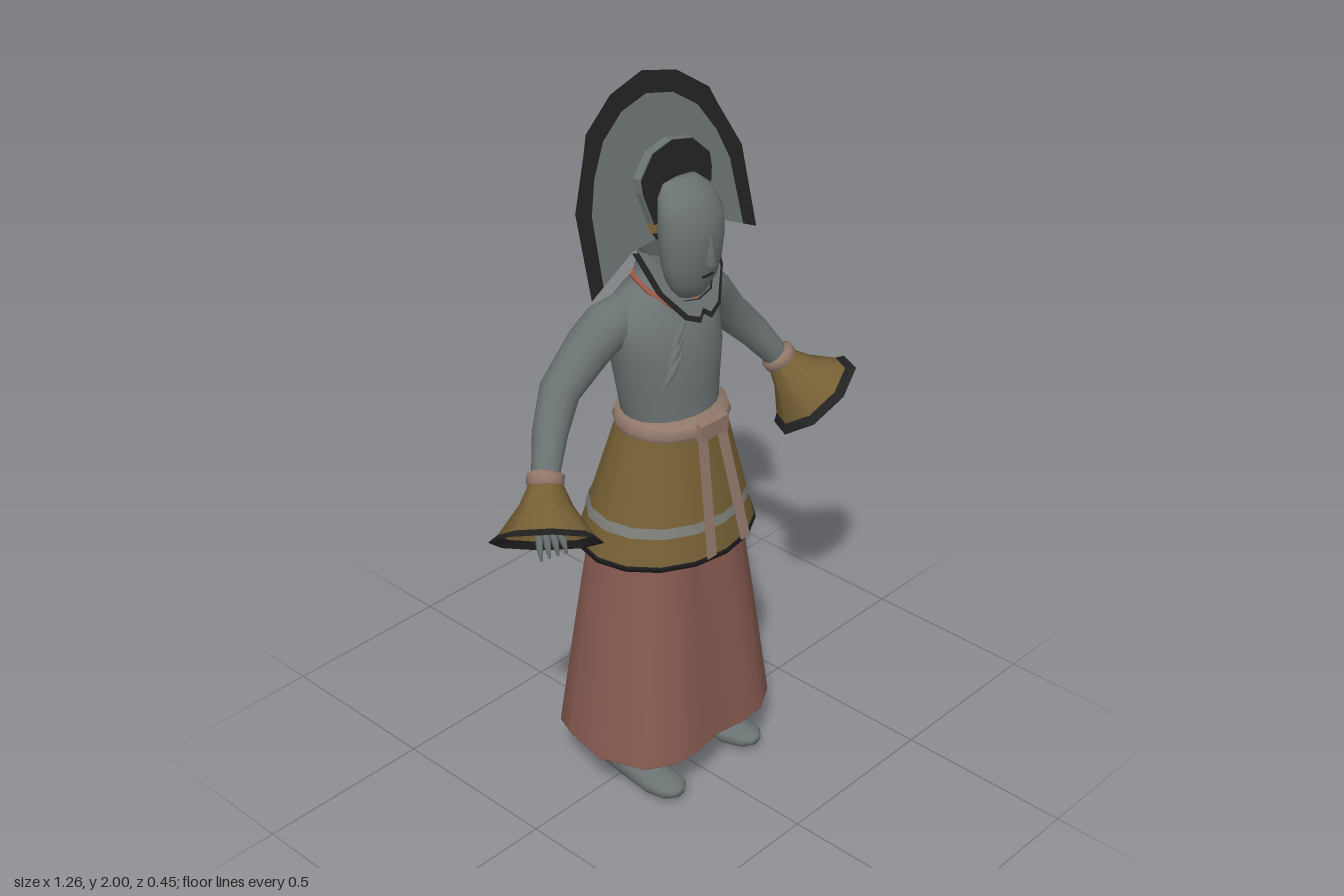
import * as THREE from 'three';

const V = (x, y, z) => new THREE.Vector3(x, y, z);
const paint = (name, color) => {
  const m = new THREE.MeshStandardMaterial({ color, side: THREE.DoubleSide });
  m.name = name;
  return m;
};

// Skin between closed rings of equal point count
function loft(rings) {
  const n = rings[0].length, pos = [], idx = [];
  rings.forEach(r => r.forEach(p => pos.push(p.x, p.y, p.z)));
  for (let r = 0; r < rings.length - 1; r++) for (let i = 0; i < n; i++) {
    const a = r * n + i, b = r * n + (i + 1) % n;
    idx.push(a, b, a + n, b, b + n, a + n);
  }
  const g = new THREE.BufferGeometry();
  g.setAttribute('position', new THREE.Float32BufferAttribute(pos, 3));
  g.setIndex(idx);
  g.computeVertexNormals();
  return g;
}

// Horizontal oval from half width and its front and back depth
function oval(y, rx, front, back, n = 24) {
  return Array.from({ length: n }, (_, i) => {
    const a = i / n * Math.PI * 2;
    return V(Math.sin(a) * rx, y, (front + back) / 2 + Math.cos(a) * (front - back) / 2);
  });
}

// Tapering limb through [x, y, z, radius, second radius]; s mirrors x
function limb(pts, s = 1, n = 12) {
  const c = pts.map(p => V(p[0] * s, p[1], p[2]));
  return loft(pts.map((p, i) => {
    const d = c[Math.min(i + 1, c.length - 1)].clone().sub(c[Math.max(i - 1, 0)]).normalize();
    const ref = Math.abs(d.z) > 0.9 ? V(0, 1, 0) : V(0, 0, 1);
    const u = ref.addScaledVector(d, -ref.dot(d)).normalize();
    const v = d.clone().cross(u);
    return Array.from({ length: n }, (_, k) => {
      const a = k / n * Math.PI * 2;
      return c[i].clone().addScaledVector(u, Math.cos(a) * p[3]).addScaledVector(v, Math.sin(a) * (p[4] ?? p[3]));
    });
  }));
}

// Mirrored flat outline, given as right-hand points from top to bottom
function outline(half) {
  const left = half.filter(p => p[0] > 0).reverse().map(([x, y]) => [-x, y]);
  return new THREE.Shape([...half, ...left].map(p => new THREE.Vector2(...p)));
}

// Lean a flat geometry: z gains slope * (y - y0)
function lean(g, z0, y0, slope) {
  const p = g.attributes.position;
  for (let i = 0; i < p.count; i++) p.setZ(i, p.getZ(i) + z0 + (p.getY(i) - y0) * slope);
  g.computeVertexNormals();
  return g;
}

export function createModel() {
  const model = new THREE.Group();
  model.name = 'dancer';
  const grey = paint('slate grey', 0x6b7272), gold = paint('old gold', 0x766035);
  const red = paint('brick red', 0x885b52), black = paint('black', 0x222222);
  const tan = paint('tan', 0x91786a), pale = paint('pale grey', 0x7f807a);
  const brown = paint('dark brown', 0x43302c), coral = paint('coral', 0xa25a48);
  const add = (name, geo, mat) => {
    const m = new THREE.Mesh(geo, mat);
    m.name = name;
    model.add(m);
    return m;
  };

  // Long skirt with a fold at the centre of front and back
  const half = [[0, .19], [.09, .205], [.17, .2], [.25, .155], [.3, .03], [.275, -.1], [.25, -.17], [.14, -.235], [0, -.2]];
  const full = [...half, ...half.slice(1, -1).reverse().map(([x, z]) => [-x, z])];
  const skirtRing = (y, k, kz = k) => full.map(([x, z]) => V(x * k, y, .015 + (z + .015) * kz - .015 * kz));
  add('skirt', loft([skirtRing(.15, 1), skirtRing(.45, .84, .88), skirtRing(.79, .65, .73)]), red);
  add('skirtHem', loft([skirtRing(.155, .93), skirtRing(.149, 1)]), brown);

  // Flared tunic skirt, hem, stripe and belt
  const tunic = (y, off = 0) => {
    const t = (1.12 - y) / .36, mix = THREE.MathUtils.lerp;
    return oval(y, mix(.143, .258, t) + off, mix(.162, .225, t) + off, mix(-.1, -.2, t) - off, 16);
  };
  add('tunicSkirt', loft([tunic(.765), tunic(1.12)]), gold);
  add('tunicHem', loft([tunic(.775, -.05), tunic(.752, .002), tunic(.766, .003)]), black);
  add('tunicStripe', loft([tunic(.84, .004), tunic(.868, .004)]), pale);
  add('belt', loft([tunic(1.09, .003), tunic(1.105, .013), tunic(1.13, .012), tunic(1.14, -.02)]), tan);
  const knot = add('beltKnot', new THREE.BoxGeometry(.1, .045, .03), tan);
  knot.position.set(0, 1.11, .168);

  // Hanging belt ribbons follow the slope of the tunic
  for (const [x0, x1] of [[-.035, -.06], [.03, .07]]) {
    const g = new THREE.PlaneGeometry(.036, .35, 1, 4), p = g.attributes.position;
    for (let i = 0; i < p.count; i++) {
      const t = .5 - p.getY(i) / .35, y = 1.12 - t * .35;
      p.setXYZ(i, p.getX(i) + x0 + (x1 - x0) * t, y, .169 + t * .062);
    }
    g.computeVertexNormals();
    add('ribbon', g, tan);
  }

  // Torso and neck
  add('torso', loft([
    oval(1.11, .135, .14, -.092), oval(1.2, .15, .135, -.1), oval(1.3, .163, .137, -.118),
    oval(1.37, .175, .11, -.12), oval(1.42, .165, .08, -.112), oval(1.455, .115, .055, -.095),
    oval(1.48, .06, .03, -.08), oval(1.54, .05, .025, -.068), oval(1.62, .055, .03, -.07)]), grey);
  for (const s of [-1, 1]) {
    add('collar', limb([[0, 1.395, .103, .007], [.04, 1.43, .075, .007], [.075, 1.468, .02, .007], [.06, 1.485, -.05, .007], [0, 1.49, -.083, .007]], s, 6), coral);
  }
  // Folds of cloth on the chest
  for (let i = 0; i < 3; i++) {
    const y = 1.4 - i * .035, x = -.05 - i * .02;
    add('chestFold', limb([[x + .03, y, .096 + i * .014, .002], [x - .015, y - .035, .108 + i * .011, .013], [x - .04, y - .08, .112 + i * .005, .002]], 1, 6), grey);
  }

  for (const s of [-1, 1]) {
    // Arm and wrist band
    add('arm', limb([[.1, 1.4, -.03, .06], [.17, 1.385, -.035, .066], [.22, 1.345, -.045, .062],
      [.31, 1.25, -.06, .053], [.38, 1.17, -.025, .045], [.445, 1.075, .02, .034]], s), grey);
    add('wristBand', limb([[.43, 1.1, .01, .034], [.434, 1.094, .013, .048], [.444, 1.075, .022, .048], [.448, 1.068, .026, .034]], s), tan);

    // Flared cuff with a dark rim
    const cuff = (t, r) => [.44 + .07 * t, 1.08 - .115 * t, .02 + .07 * t, r];
    add('cuff', limb([cuff(0, .04), cuff(.4, .068), cuff(.88, .12)], s, 8), gold);
    add('cuffRim', limb([cuff(.88, .12), cuff(1, .143)], s, 8), black);

    // Hand and fingers
    add('hand', limb([[.443, 1.08, .02, .026], [.462, 1.03, .045, .024, .032], [.487, .99, .07, .018, .034], [.495, .975, .08, .004]], s), grey);
    for (let i = 0; i < 4; i++) {
      const o = (i - 1.5) * .016;
      add('finger', limb([[.485 + o, .995 + o * .4, .07 - o * .4, .01], [.498 + o * 1.3, .955, .095 - o * .4, .009], [.495 + o * 1.4, .92, .1 - o * .4, .003]], s, 6), grey);
    }
    add('thumb', limb([[.455, 1.04, .05, .011], [.445, 1.0, .085, .01], [.46, .97, .1, .003]], s, 6), grey);

    // Leg and foot with a flat sole
    add('leg', limb([[.14, .45, -.03, .06], [.145, .15, -.037, .046], [.145, .04, -.038, .046]], s), grey);
    const foot = limb([[.145, .03, -.085, .005], [.145, .035, -.08, .036, .036], [.147, .05, -.03, .055, .047],
      [.15, .045, .04, .048, .05], [.153, .035, .13, .032, .055], [.157, .04, .19, .023, .045], [.158, .04, .212, .012, .02], [.158, .04, .213, .001]], s);
    const p = foot.attributes.position;
    for (let i = 0; i < p.count; i++) p.setY(i, Math.max(p.getY(i), p.getZ(i) > .1 ? .008 : 0));
    foot.computeVertexNormals();
    add('foot', foot, grey);
  }

  // Head in bands: hair, gold headband, hair, crown of the head
  add('headLower', loft([oval(1.55, .05, .03, -.065), oval(1.605, .075, .05, -.088)]), grey);
  add('hair', loft([oval(1.605, .075, .05, -.088), oval(1.63, .084, .055, -.092)]), black);
  add('headband', loft([oval(1.625, .088, .055, -.096), oval(1.69, .088, .05, -.096)]), gold);
  add('hairTop', loft([oval(1.69, .086, .05, -.094), oval(1.72, .072, .035, -.085)]), black);
  add('headTop', loft([oval(1.72, .072, .035, -.085), oval(1.738, .045, .015, -.06), oval(1.742, .001, -.02, -.022)]), grey);

  // Mask with nose and mouth
  add('mask', loft([oval(1.462, .002, .1, .09), oval(1.467, .045, .125, .055), oval(1.51, .076, .146, .045), oval(1.56, .09, .156, .035),
    oval(1.62, .097, .162, .03), oval(1.68, .097, .157, .025), oval(1.73, .085, .125, .025), oval(1.757, .055, .085, .03), oval(1.763, .002, .06, .055)]), grey);
  add('nose', limb([[0, 1.64, .158, .004], [0, 1.565, .16, .017, .016], [0, 1.55, .15, .004]], 1, 8), grey);
  const mouth = add('mouth', new THREE.BoxGeometry(.036, .005, .006), black);
  mouth.position.set(0, 1.53, .151);

  // Chin guard: grey strap with a dark edge, sweeping forward below the mask
  const guard = (o) => outline([[0, 1.455], [.05, 1.465], [.085, 1.51], [.105, 1.59], [.145 - o, 1.6], [.12 - o, 1.5], [.065 - o * .7, 1.425 + o * .6], [.02, 1.405 + o], [0, 1.42 + o]]);
  add('chinGuardEdge', lean(new THREE.ShapeGeometry(guard(0)), .035, 1.6, -.58), black);
  add('chinGuard', lean(new THREE.ShapeGeometry(guard(.016)), .041, 1.6, -.58), grey);

  // Crest behind the mask: grey plate with a black face
  const crest = outline([[0, 1.85], [.07, 1.835], [.122, 1.785], [.122, 1.75], [.1, 1.67], [0, 1.67]]);
  add('crest', lean(new THREE.ExtrudeGeometry(crest, { depth: .022, bevelEnabled: false }), .04, 1.67, -.2), grey);
  add('crestFace', lean(new THREE.ShapeGeometry(crest), .066, 1.67, -.2), black);

  // Great fan headdress: grey field inside a black border
  const field = [[0, 1.945], [.09, 1.925], [.165, 1.875], [.215, 1.8], [.245, 1.72], [.252, 1.55]];
  const edge = [[0, 2], [.115, 1.972], [.215, 1.905], [.235, 1.86], [.295, 1.74], [.297, 1.53]];
  const mirror = a => [...a.slice(1).reverse().map(([x, y]) => [-x, y]), ...a];
  const border = new THREE.Shape([...mirror(edge), ...mirror(field).reverse()].map(p => new THREE.Vector2(...p)));
  add('fan', lean(new THREE.ShapeGeometry(outline([...field, [.14, 1.6], [0, 1.61]])), .03, 1.6, -.25), grey);
  add('fanBorder', lean(new THREE.ShapeGeometry(border), .03, 1.6, -.25), black);

  return model;
}
